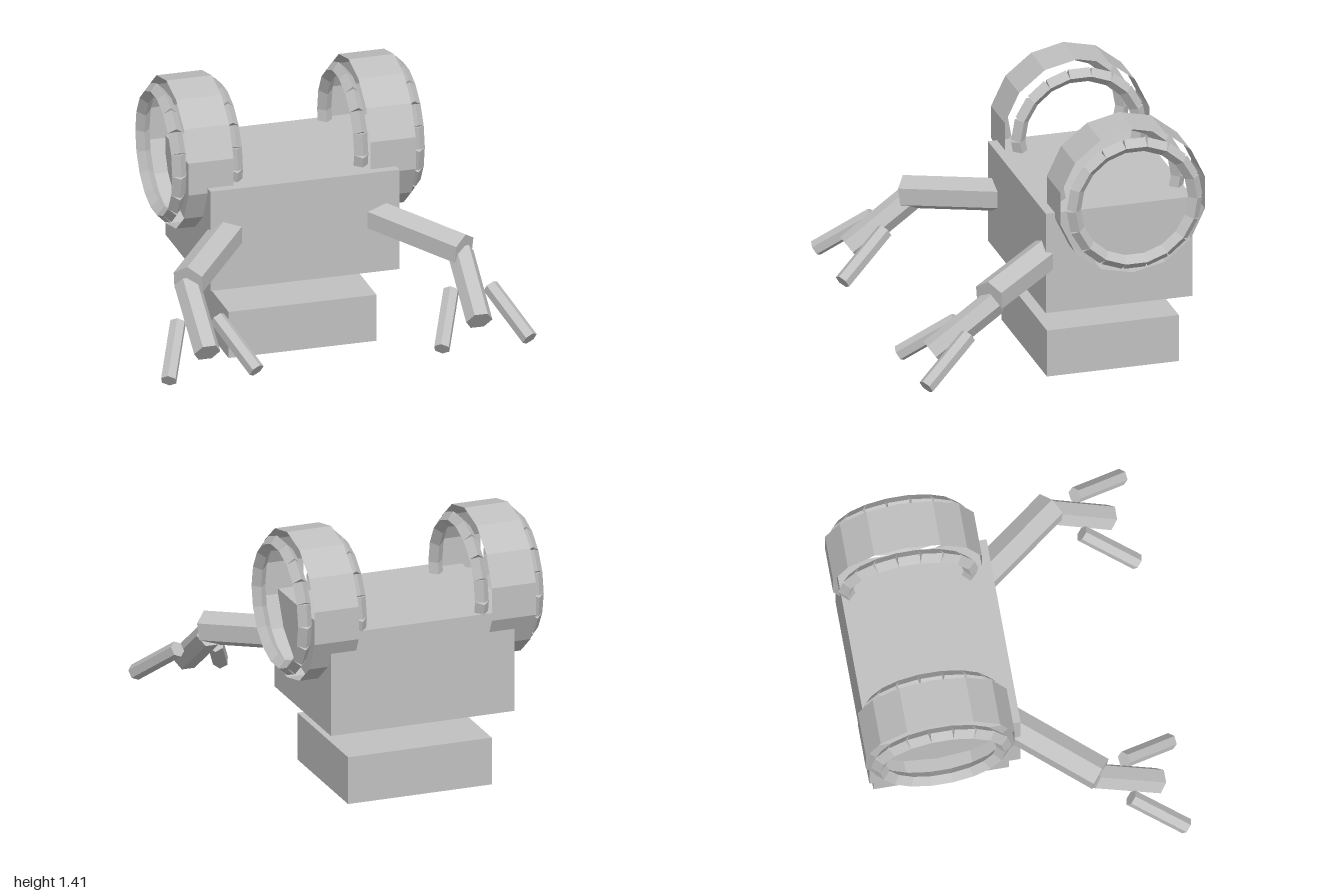
import * as THREE from 'three';

const grey = new THREE.MeshStandardMaterial({ color: 0xc0c0c0, flatShading: true, side: THREE.DoubleSide });
grey.name = 'plain grey';

function box(name, w, h, d, x, y, z) {
  const mesh = new THREE.Mesh(new THREE.BoxGeometry(w, h, d), grey);
  mesh.name = name;
  mesh.position.set(x, y, z);
  return mesh;
}

// Prism running from a to b, with a corner (or, rolled, a flat) on its upper side
function rod(name, a, b, radius, sides = 6, roll = 0, open = false) {
  const from = new THREE.Vector3(...a), to = new THREE.Vector3(...b);
  const geo = new THREE.CylinderGeometry(radius, radius, from.distanceTo(to), sides, 1, open);
  geo.rotateY(roll);
  const dir = to.clone().sub(from).normalize();
  const side = dir.clone().cross(new THREE.Vector3(0, 1, 0)).normalize();
  const up = side.clone().cross(dir);
  const mesh = new THREE.Mesh(geo, grey);
  mesh.name = name;
  mesh.quaternion.setFromRotationMatrix(new THREE.Matrix4().makeBasis(side, dir, up));
  mesh.position.copy(from).add(to).multiplyScalar(0.5);
  return mesh;
}

// Ring of straight diamond-section links
function linkRing(x) {
  const ring = new THREE.Group();
  ring.name = 'linkRing';
  const geo = new THREE.CylinderGeometry(0.038, 0.038, 0.113, 4);
  for (let i = 0; i < 18; i++) {
    const a = (i + 0.5) * Math.PI / 9;
    const link = new THREE.Mesh(geo, grey);
    link.name = 'link';
    link.rotation.x = a;
    link.position.set(0, -Math.sin(a) * 0.32, Math.cos(a) * 0.32);
    ring.add(link);
  }
  ring.position.set(x, 1.01, -0.43);
  return ring;
}

function createSide(s) {
  const label = s > 0 ? 'left' : 'right';

  // Hollow eye drum with a link ring on each rim
  const eye = new THREE.Group();
  eye.name = label + 'Eye';
  eye.add(rod('eyeBand', [s * 0.366, 1.01, -0.43], [s * 0.608, 1.01, -0.43], 0.396, 14, 0, true));
  eye.add(linkRing(s * 0.335), linkRing(s * 0.637));

  // Arm with a thick hand and two loose fingers
  const arm = new THREE.Group();
  arm.name = label + 'Arm';
  arm.add(rod('upperArm', [s * 0.30, 0.71, -0.165], [s * 0.737, 0.625, 0.378], 0.09));
  arm.add(rod('forearm', [s * 0.73, 0.60, 0.34], [s * 0.727, 0.355, 0.68], 0.07, 6, Math.PI / 6));
  for (const f of [-1, 1]) {
    arm.add(rod('finger', [s * (0.73 + f * 0.105), 0.47, 0.52], [s * (0.73 + f * 0.235), 0.27, 0.785], 0.043));
  }

  const half = new THREE.Group();
  half.name = label + 'Side';
  half.add(eye, arm);
  return half;
}

export function createModel() {
  const model = new THREE.Group();
  model.name = 'robot';
  model.add(box('body', 1.01, 0.55, 0.785, 0, 0.675, -0.388));
  model.add(box('base', 0.79, 0.255, 0.705, 0, 0.1275, -0.388));
  model.add(createSide(1), createSide(-1));
  return model;
}
